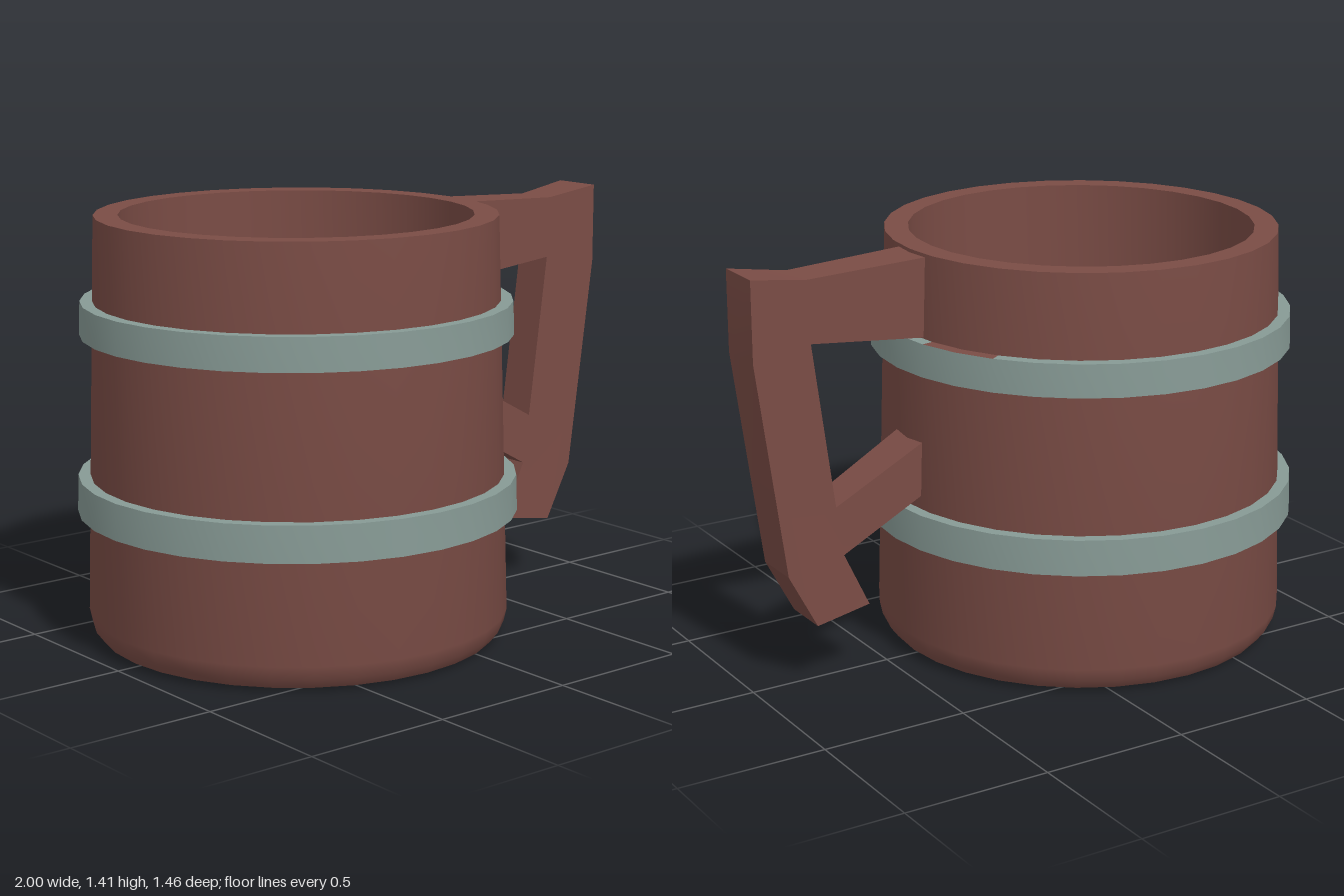
import * as THREE from 'three';
import { toCreasedNormals } from 'three/addons/utils/BufferGeometryUtils.js';

const SEGMENTS = 32;
const AXIS_X = -0.27;

// Revolve a profile of [radius, height] points, keeping hard edges sharp
function lathe(profile, segments = SEGMENTS, start = 0, length = Math.PI * 2) {
  const points = profile.map(([r, y]) => new THREE.Vector2(r, y));
  return toCreasedNormals(new THREE.LatheGeometry(points, segments, start, length), 0.6);
}

export function createModel() {
  const wood = new THREE.MeshStandardMaterial({ color: 0x7a4c45 });
  wood.name = 'wood';
  const metal = new THREE.MeshStandardMaterial({ color: 0x879a95 });
  metal.name = 'metal';

  const model = new THREE.Group();
  model.name = 'mug';
  const add = (name, geometry, material, x = 0) => {
    const mesh = new THREE.Mesh(geometry, material);
    mesh.name = name;
    mesh.position.x = x;
    model.add(mesh);
  };

  // Hollow, tapered body with a bevelled foot and a thick rim
  add('body', lathe([
    [0, 0], [0.62, 0], [0.665, 0.012], [0.69, 0.045], [0.70, 0.09],
    [0.66, 1.41], [0.58, 1.41], [0.58, 0.1], [0, 0.1],
  ]), wood, AXIS_X);

  // Hoops: underside and outer face, with a separate top face
  const step = (Math.PI * 2) / SEGMENTS;
  const patchStart = Math.PI / 2 + step;
  const hoops = [
    { name: 'lowerHoop', y0: 0.43, y1: 0.55, r0: 0.73, r1: 0.726, inner: 0.67, patch: 0 },
    { name: 'upperHoop', y0: 1.02, y1: 1.13, r0: 0.713, r1: 0.709, inner: 0.65, patch: 2 },
  ];
  for (const { name, y0, y1, r0, r1, inner, patch } of hoops) {
    add(name, lathe([[inner, y0], [r0, y0], [r1, y1]]), metal, AXIS_X);
    const top = [[r1, y1], [inner, y1]];
    const count = SEGMENTS - patch;
    add(name + 'Top', lathe(top, count, patchStart + patch * step, count * step), metal, AXIS_X);
    // Short wooden-coloured stretch beside the handle
    if (patch) add(name + 'Patch', lathe(top, patch, patchStart, patch * step), wood, AXIS_X);
  }

  // Handle outline [x, y, half thickness]: upper arm, grip, foot and lower strut
  const wide = 0.085, slim = 0.07;
  const outline = [
    [0.35, 1.40, wide], [0.35, 1.13, wide], [0.79, 1.17, slim], [0.715, 0.61, slim],
    [0.36, 0.80, wide], [0.36, 0.62, wide], [0.69, 0.44, slim], [0.60, 0.25, slim],
    [0.80, 0.22, wide], [0.90, 0.41, wide], [1.0, 1.14, wide], [1.0, 1.41, wide],
    [0.80, 1.38, slim],
  ];
  const shape = new THREE.Shape(outline.map(([x, y]) => new THREE.Vector2(x, y)));
  const handle = new THREE.ExtrudeGeometry(shape, { depth: 1, bevelEnabled: false });
  const pos = handle.attributes.position;
  for (let i = 0; i < pos.count; i++) {
    const corner = outline.find(([x, y]) =>
      Math.hypot(x - pos.getX(i), y - pos.getY(i)) < 0.001);
    pos.setZ(i, pos.getZ(i) > 0.5 ? corner[2] : -corner[2]);
  }
  add('handle', toCreasedNormals(handle, 0.3), wood);

  return model;
}
